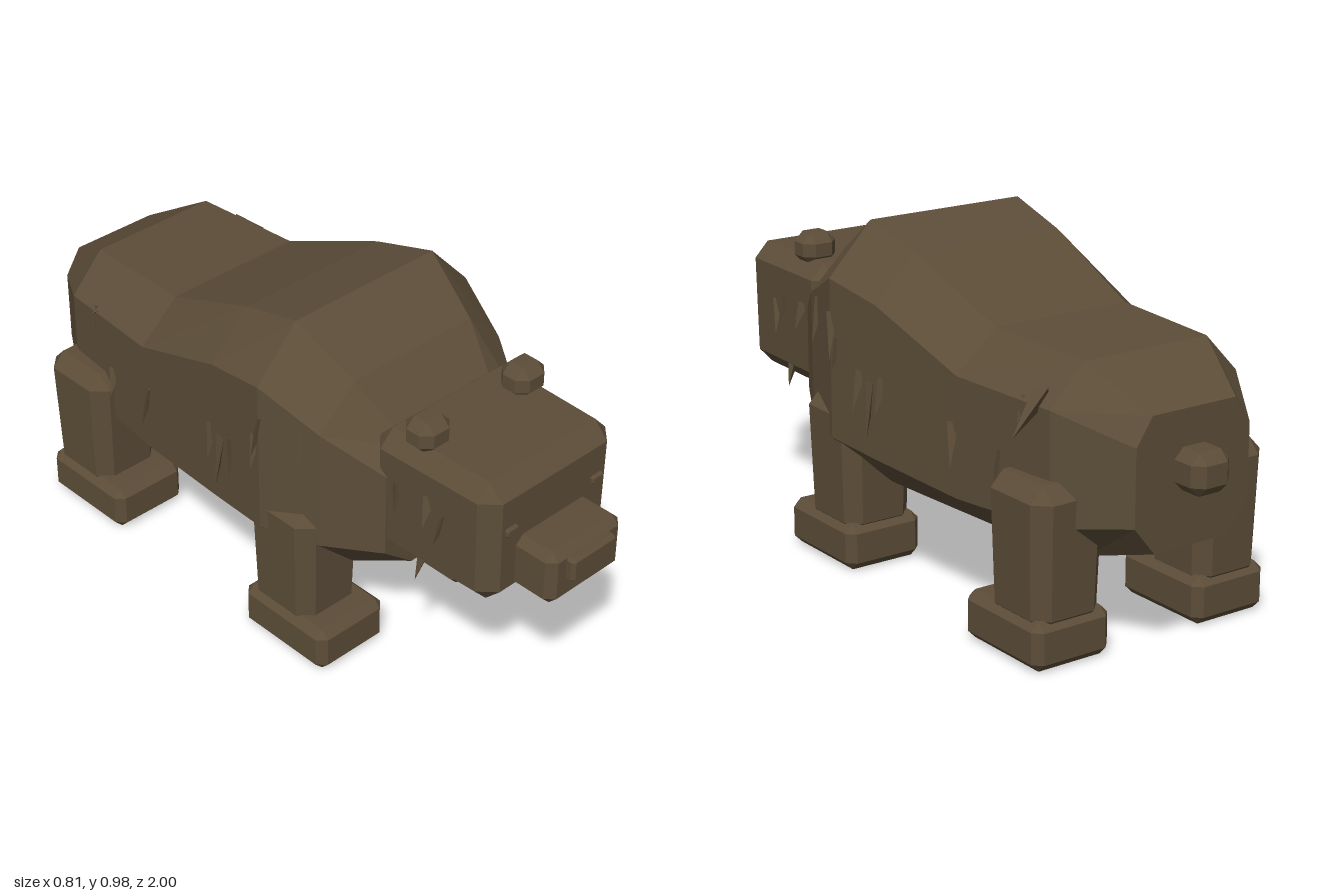
import * as THREE from 'three';
import { ConvexGeometry } from 'three/addons/geometries/ConvexGeometry.js';

const CENTRE = -0.008;

export function createModel() {
  const group = new THREE.Group();
  const fur = new THREE.MeshStandardMaterial({ color: 0x5c4d38, flatShading: true, side: THREE.DoubleSide });
  fur.name = 'brown fur';

  const add = (name, geometry) => {
    const mesh = new THREE.Mesh(geometry, fur);
    mesh.name = name;
    mesh.position.x = CENTRE;
    group.add(mesh);
    return mesh;
  };

  // Box with cut edges and corners; adjust() may taper it
  const cutBox = (name, [x0, x1], [y0, y1], [z0, z1], c, adjust) => {
    const centre = new THREE.Vector3((x0 + x1) / 2, (y0 + y1) / 2, (z0 + z1) / 2);
    const half = new THREE.Vector3((x1 - x0) / 2, (y1 - y0) / 2, (z1 - z0) / 2);
    const points = [];
    for (const sx of [-1, 1]) for (const sy of [-1, 1]) for (const sz of [-1, 1]) {
      for (const axis of ['x', 'y', 'z']) {
        const p = half.clone().subScalar(c);
        p[axis] = half[axis];
        p.multiply(new THREE.Vector3(sx, sy, sz));
        if (adjust) adjust(p, half);
        points.push(p.add(centre));
      }
    }
    return add(name, new ConvexGeometry(points));
  };

  // Body: eight-sided sections from chest to rump
  // z, half widths (top, side, bottom), heights (top, upper side, lower side, bottom)
  const sections = [
    [0.50, 0.16, 0.25, 0.15, 0.71, 0.66, 0.41, 0.33],
    [0.34, 0.215, 0.335, 0.21, 0.865, 0.75, 0.39, 0.27],
    [0.16, 0.25, 0.387, 0.24, 0.98, 0.835, 0.38, 0.24],
    [-0.04, 0.24, 0.37, 0.23, 0.925, 0.80, 0.365, 0.24],
    [-0.37, 0.215, 0.34, 0.21, 0.79, 0.68, 0.345, 0.24],
    [-0.72, 0.20, 0.305, 0.18, 0.78, 0.67, 0.36, 0.26],
    [-0.91, 0.135, 0.185, 0.12, 0.675, 0.60, 0.39, 0.31],
  ];
  const vertices = [];
  const index = [];
  for (const [z, t, s, b, top, up, low, bottom] of sections) {
    vertices.push(t, top, z, -t, top, z, -s, up, z, -s, low, z);
    vertices.push(-b, bottom, z, b, bottom, z, s, low, z, s, up, z);
  }
  for (let r = 0; r < sections.length - 1; r++) {
    for (let i = 0; i < 8; i++) {
      const a = r * 8 + i, b = r * 8 + (i + 1) % 8;
      index.push(a, b + 8, b, a, a + 8, b + 8);
    }
  }
  const last = (sections.length - 1) * 8;
  for (let i = 1; i < 7; i++) {
    index.push(0, i, i + 1, last, last + i + 1, last + i);
  }
  let body = new THREE.BufferGeometry();
  body.setAttribute('position', new THREE.Float32BufferAttribute(vertices, 3));
  body.setIndex(index);
  body = body.toNonIndexed();
  body.computeVertexNormals();
  add('body', body);

  // Head, slightly narrower at the front
  cutBox('head', [-0.25, 0.25], [0.412, 0.787], [0.43, 0.852], 0.046, (p, half) => {
    p.x *= 0.97 - 0.03 * p.z / half.z + 0.015 * p.y / half.y;
  });
  cutBox('snout', [-0.137, 0.137], [0.442, 0.606], [0.80, 0.975], 0.024);
  cutBox('nose', [-0.083, 0.083], [0.512, 0.585], [0.93, 1.0], 0.009);
  cutBox('tail', [-0.062, 0.062], [0.462, 0.576], [-1.0, -0.85], 0.028);

  for (const side of [-1, 1]) {
    const label = side > 0 ? 'left' : 'right';
    const span = (a, b) => (side > 0 ? [a, b] : [-b, -a]);
    cutBox(label + 'Eye', span(0.139, 0.182), [0.631, 0.656], [0.835, 0.862], 0.005);
    cutBox(label + 'Ear', span(0.122, 0.232), [0.765, 0.86], [0.52, 0.62], 0.028);

    // Legs widen a little upwards
    for (const [place, z, top] of [['Front', 0.21, 0.485], ['Rear', -0.655, 0.487]]) {
      const mid = z - 0.003;
      cutBox(label + place + 'Leg', span(0.15, 0.382), [0.09, top], [mid - 0.125, mid + 0.125], 0.042, (p, half) => {
        const k = 0.95 + 0.05 * p.y / half.y;
        p.x *= k;
        p.z *= k;
      });
      const footZ = place === 'Front' ? 0.24 : -0.62;
      cutBox(label + place + 'Foot', span(0.142, 0.386), [0, 0.135], [footZ - 0.16, footZ + 0.16], 0.024);
    }
  }

  // Fur tufts: three-sided spikes lying along the flanks
  const tuft = (base, tip, radius) => {
    const from = new THREE.Vector3(...base), to = new THREE.Vector3(...tip);
    const dir = to.clone().sub(from);
    const geometry = new THREE.ConeGeometry(radius, dir.length(), 3);
    const mesh = add('furTuft', geometry);
    mesh.quaternion.setFromUnitVectors(new THREE.Vector3(0, 1, 0), dir.normalize());
    mesh.position.add(from.add(to).multiplyScalar(0.5));
  };
  // z, y of the base, half width of the surface there, length
  const tufts = [
    [0.69, 0.64, 0.233, 0.10], [0.64, 0.67, 0.238, 0.09], [0.53, 0.66, 0.245, 0.08], [0.62, 0.47, 0.23, 0.08],
    [0.28, 0.75, 0.345, 0.13], [0.16, 0.74, 0.38, 0.13], [0.14, 0.67, 0.378, 0.10],
    [0.03, 0.60, 0.372, 0.12], [-0.01, 0.58, 0.368, 0.16], [-0.06, 0.60, 0.364, 0.11],
    [-0.35, 0.55, 0.337, 0.12], [-0.53, 0.52, 0.318, 0.09], [-0.62, 0.68, 0.30, 0.07],
  ];
  for (const side of [-1, 1]) {
    tufts.forEach(([z, y, x, length], i) => {
      const lean = ((i * 7) % 5 - 2) * 0.008;
      tuft([side * (x - 0.004), y, z], [side * (x + 0.022), y - length, z + lean], 0.019);
    });
  }
  // Longer tufts near the hips
  tuft([0.28, 0.70, -0.66], [0.408, 0.61, -0.70], 0.03);
  tuft([-0.25, 0.70, -0.58], [-0.33, 0.67, -0.61], 0.025);

  return group;
}
